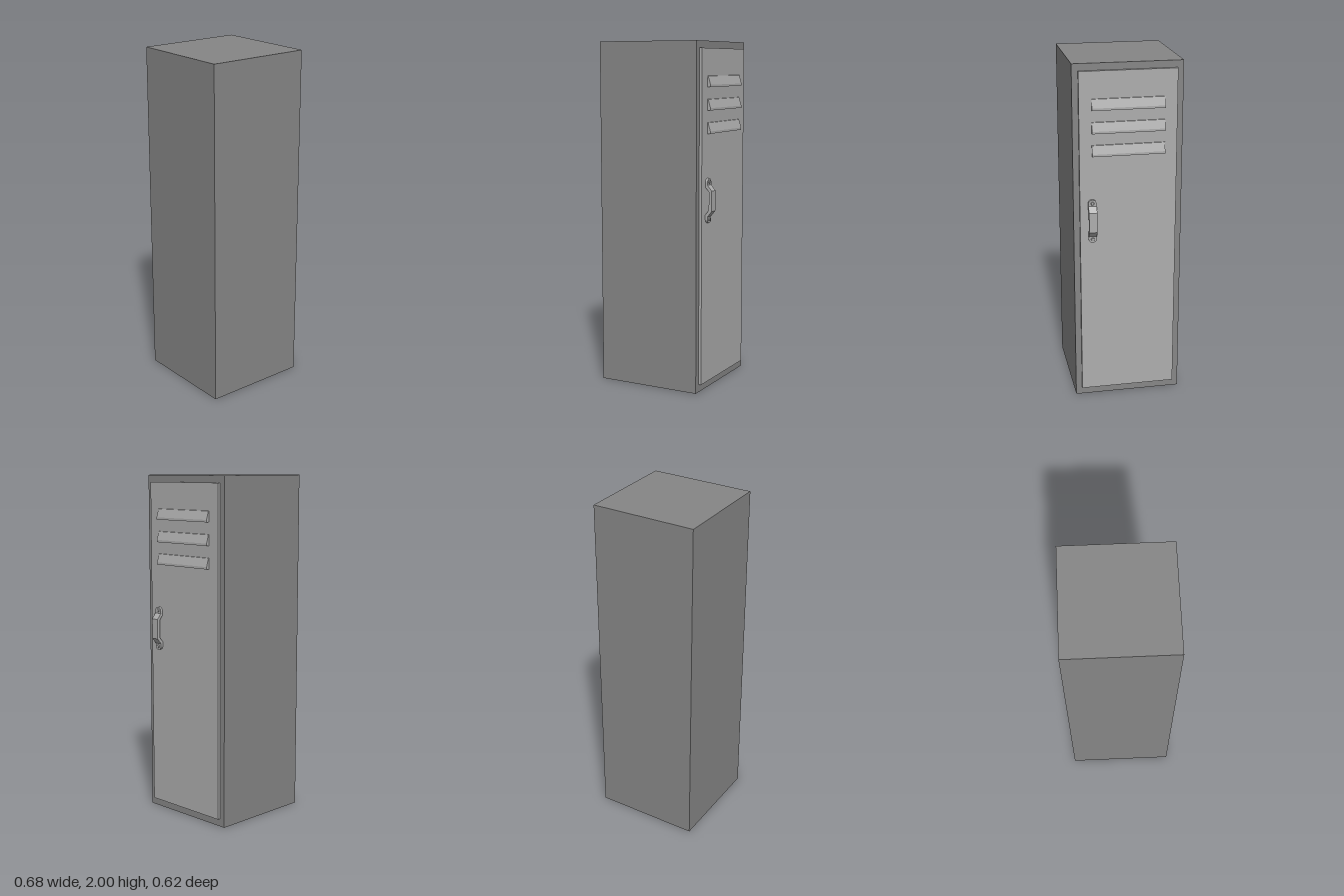
import * as THREE from 'three';

export function createModel() {
  const model = new THREE.Group();
  const bodyMat = new THREE.MeshStandardMaterial({ color: 0x868686, flatShading: true });
  const doorMat = new THREE.MeshStandardMaterial({ color: 0xadadad, flatShading: true });

  const add = (name, geometry, material, parent = model) => {
    const mesh = new THREE.Mesh(geometry, material);
    mesh.name = name;
    parent.add(mesh);
    return mesh;
  };
  // Box given by its lower and upper corners
  const box = (x0, y0, z0, x1, y1, z1) =>
    new THREE.BoxGeometry(x1 - x0, y1 - y0, z1 - z0)
      .translate((x0 + x1) / 2, (y0 + y1) / 2, (z0 + z1) / 2);
  // Profile in x and y, swept along z from z0 to z1
  const sweep = (points, z0, z1) =>
    new THREE.ExtrudeGeometry(new THREE.Shape(points.map(([x, y]) => new THREE.Vector2(x, y))),
      { depth: z1 - z0, bevelEnabled: false }).translate(0, 0, z0);

  // Cabinet and its door on the +x side
  add('cabinet', box(-0.34, 0, -0.311, 0.284, 2, 0.311), bodyMat);
  add('door', box(0.284, 0.045, -0.276, 0.3, 1.96, 0.276), doorMat);

  // Three louvres, sloping outwards to a small lip
  for (let i = 0; i < 3; i++) {
    const y = 1.745 - i * 0.13;
    add('louvre', sweep([[0.299, y], [0.318, y], [0.318, y + 0.013], [0.303, y + 0.061], [0.299, y + 0.063]],
      -0.206, 0.206), doorMat);
  }

  // Handle: bent strap with a rounded, screwed pad at each end
  const handle = new THREE.Group();
  handle.name = 'handle';
  model.add(handle);
  const midY = 1.107, midZ = 0.207, r = 0.0235;
  const outer = [[0.314, 0.09], [0.34, 0.058]];
  const inner = [[0.322, 0.052], [0.3, 0.079]];
  const half = [[0.3, 0.09], ...outer];
  const strap = [
    ...half.map(([x, y]) => [x, midY + y]),
    ...half.slice().reverse().map(([x, y]) => [x, midY - y]),
    ...inner.slice().reverse().map(([x, y]) => [x, midY - y]),
    ...inner.map(([x, y]) => [x, midY + y]),
  ];
  add('strap', sweep(strap, midZ - r, midZ + r), doorMat, handle);

  for (const s of [1, -1]) {
    const shape = new THREE.Shape();
    shape.moveTo(-r, -0.024);
    shape.lineTo(r, -0.024);
    shape.lineTo(r, 0);
    shape.absarc(0, 0, r, 0, Math.PI, false);
    const pad = new THREE.ExtrudeGeometry(shape, { depth: 0.014, bevelEnabled: false, curveSegments: 8 });
    if (s < 0) pad.rotateZ(Math.PI);
    pad.rotateY(Math.PI / 2).translate(0.3, midY + s * 0.104, midZ);
    add('pad', pad, doorMat, handle);

    const screw = new THREE.CylinderGeometry(0.008, 0.011, 0.006, 10).rotateZ(-Math.PI / 2);
    add('screw', screw.translate(0.316, midY + s * 0.107, midZ), doorMat, handle);
  }
  return model;
}
